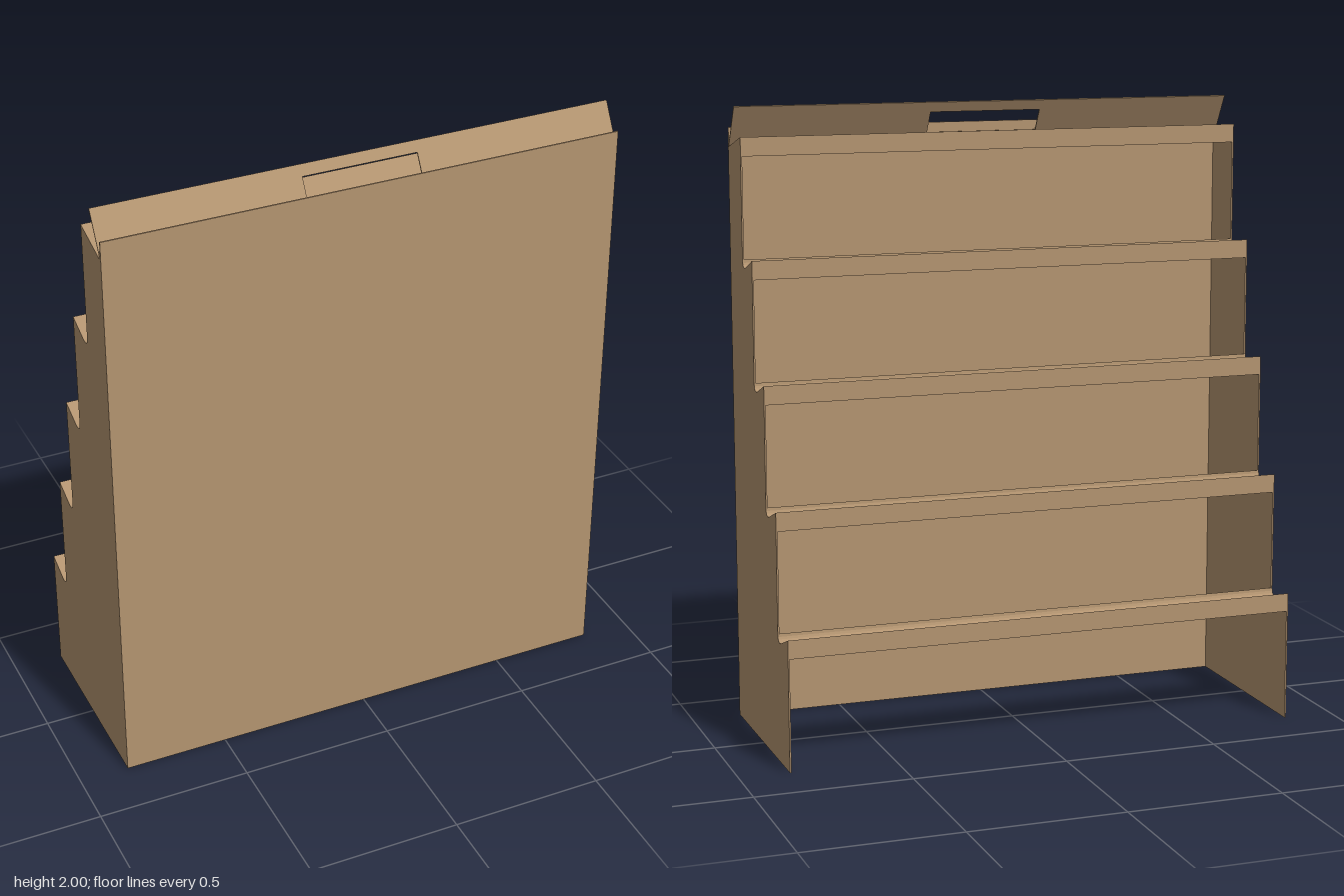
import * as THREE from 'three';

const WIDTH = 1.68, BACK = -0.32, FRONT = 0.32, T = 0.005;
const STEP_Z = 0.12, STEP_Y = 0.3725, FIRST_Y = 0.42, TIERS = 5;

// Extrudes a (z, y) outline along x, centred on the given x
function extrudeX(shape, depth, x) {
  const g = new THREE.ExtrudeGeometry(shape, { depth, bevelEnabled: false, curveSegments: 6 });
  g.rotateY(-Math.PI / 2);
  g.translate(x + depth / 2, 0, 0);
  return g;
}

// Sloping tread with a rounded inner corner, starting at the lip top (z, y)
function addTread(shape, z, y) {
  shape.lineTo(z, y);
  shape.lineTo(z + 0.085, y - 0.032);
  shape.bezierCurveTo(z + 0.105, y - 0.038, z + STEP_Z, y - 0.032, z + STEP_Z, y - 0.01);
}

export function createModel() {
  const model = new THREE.Group();
  model.name = 'steppedDisplayStand';
  const cardboard = new THREE.MeshStandardMaterial({ color: 0xb39470, side: THREE.DoubleSide });
  cardboard.name = 'cardboard';

  const add = (name, geometry) => {
    const mesh = new THREE.Mesh(geometry, cardboard);
    mesh.name = name;
    model.add(mesh);
    return mesh;
  };

  // Front panel
  const panelTop = 1.868;
  add('frontPanel', new THREE.BoxGeometry(WIDTH, panelTop, T))
    .position.set(0, panelTop / 2, FRONT - T / 2);

  // Stepped side panels
  const side = new THREE.Shape();
  side.moveTo(FRONT, 0);
  side.lineTo(BACK, 0);
  for (let i = 0; i < TIERS - 1; i++) addTread(side, BACK + i * STEP_Z, FIRST_Y + i * STEP_Y);
  const topZ = BACK + (TIERS - 1) * STEP_Z, topY = FIRST_Y + (TIERS - 1) * STEP_Y;
  side.lineTo(topZ, topY);
  side.lineTo(FRONT, panelTop);
  side.closePath();
  for (const s of [-1, 1]) {
    add(s > 0 ? 'leftSidePanel' : 'rightSidePanel', extrudeX(side, T, s * (WIDTH - T) / 2));
  }

  // Narrow shelves with an upright lip, open behind
  for (let i = 0; i < TIERS - 1; i++) {
    const z = BACK + i * STEP_Z, y = FIRST_Y + i * STEP_Y;
    const shelf = new THREE.Shape();
    shelf.moveTo(z + STEP_Z, y - 0.06);
    shelf.lineTo(z, y - 0.06);
    addTread(shelf, z, y);
    shelf.closePath();
    add('shelf' + (i + 1), extrudeX(shelf, WIDTH - 2 * T, 0));
  }

  // Top shelf, sloping down to the front panel
  const top = new THREE.Shape();
  top.moveTo(FRONT - T, topY - 0.06);
  top.lineTo(topZ, topY - 0.06);
  top.lineTo(topZ, topY);
  top.lineTo(FRONT - T, panelTop);
  top.closePath();
  add('topShelf', extrudeX(top, WIDTH - 2 * T, 0));

  // Upright flap along the top edge
  add('uprightFlap', new THREE.BoxGeometry(WIDTH, 0.062, T))
    .position.set(0, panelTop + 0.031, FRONT - T / 2);

  // Leaning flap with a handle slot
  const rise = 2 - panelTop, run = 0.078;
  const length = Math.hypot(rise, run);
  const flap = new THREE.Shape();
  flap.moveTo(-WIDTH / 2, 0);
  flap.lineTo(WIDTH / 2, 0);
  flap.lineTo(WIDTH / 2, length);
  flap.lineTo(-WIDTH / 2, length);
  flap.closePath();
  const slot = new THREE.Path();
  slot.moveTo(-0.187, 0.035);
  slot.lineTo(-0.187, 0.116);
  slot.lineTo(0.187, 0.116);
  slot.lineTo(0.187, 0.035);
  slot.closePath();
  flap.holes.push(slot);
  const handle = add('handleFlap', new THREE.ExtrudeGeometry(flap, { depth: 0.004, bevelEnabled: false }));
  handle.position.set(0, panelTop - 0.001, FRONT - T);
  handle.rotation.x = -Math.atan2(run, rise);

  return model;
}
